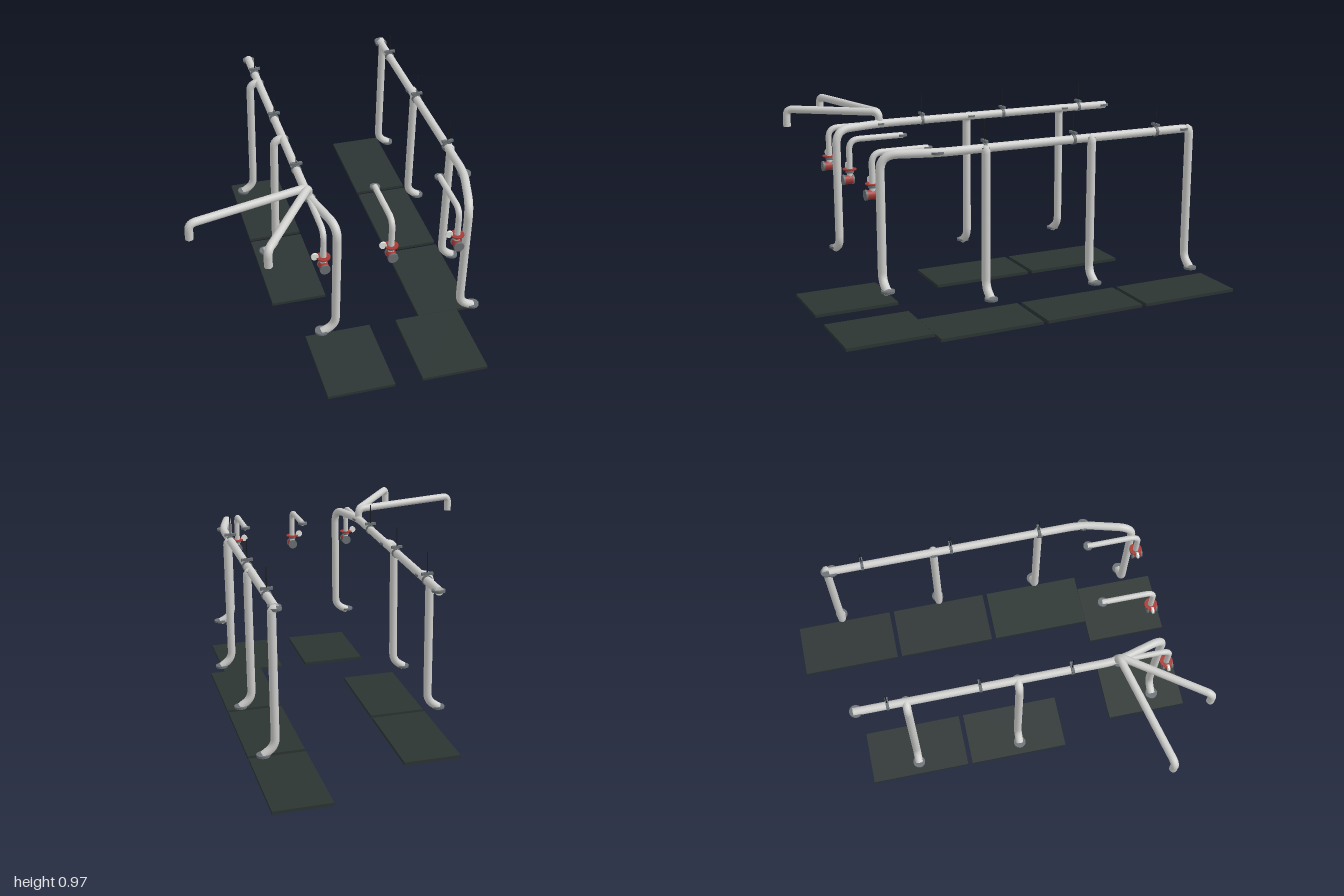
import * as THREE from 'three';

const mat = (name, color) => {
  const m = new THREE.MeshStandardMaterial({ color });
  m.name = name;
  return m;
};

export function createModel() {
  const steel = mat('pale steel', 0xcfcfcd);
  const flangeGrey = mat('flange grey', 0x6c7276);
  const slate = mat('dark slate', 0x2c3533);
  const red = mat('valve red', 0xa83a36);
  const white = mat('gauge white', 0xe8e8e4);
  const black = mat('rod black', 0x1c1e1f);

  const model = new THREE.Group();
  model.name = 'pipework';
  const Y = 0.838; // height of the main pipes

  const add = (name, geometry, material, x = 0, y = 0, z = 0, parent = model) => {
    const mesh = new THREE.Mesh(geometry, material);
    mesh.name = name;
    mesh.position.set(x, y, z);
    parent.add(mesh);
    return mesh;
  };

  // Capped tube along a polyline whose corners are rounded by the given bend length
  const pipe = (name, points, radius, bend, segments = 64) => {
    const p = points.map(a => new THREE.Vector3(...a));
    const path = new THREE.CurvePath();
    let from = p[0];
    for (let i = 1; i < p.length - 1; i++) {
      const toPrev = p[i - 1].clone().sub(p[i]), toNext = p[i + 1].clone().sub(p[i]);
      const r = Math.min(bend, toPrev.length() * 0.9, toNext.length() * 0.6);
      const a = p[i].clone().addScaledVector(toPrev.normalize(), r);
      const b = p[i].clone().addScaledVector(toNext.normalize(), r);
      path.add(new THREE.LineCurve3(from, a));
      path.add(new THREE.QuadraticBezierCurve3(a, p[i], b));
      from = b;
    }
    const last = p[p.length - 1];
    path.add(new THREE.LineCurve3(from, last));
    const group = new THREE.Group();
    group.name = name;
    model.add(group);
    add(name + 'Tube', new THREE.TubeGeometry(path, segments, radius, 16), steel, 0, 0, 0, group);
    for (const [end, next] of [[p[0], p[1]], [last, p[p.length - 2]]]) {
      const cap = add(name + 'Cap', new THREE.CircleGeometry(radius, 16), steel, end.x, end.y, end.z, group);
      cap.lookAt(end.clone().multiplyScalar(2).sub(next));
    }
    return group;
  };

  // Thin horizontal disc
  const flange = (name, x, y, z, r = 0.031, h = 0.01, material = flangeGrey) =>
    add(name, new THREE.CylinderGeometry(r, r, h, 24), material, x, y, z);

  // Floor plates: x from, x to, z from, z to
  [
    [-0.257, 0.02, -0.733, -0.222], [-0.257, 0.02, -0.198, 0.315],
    [-0.155, 0.172, 0.585, 1], [0.43, 0.706, -1, -0.488],
    [0.43, 0.706, -0.464, 0.048], [0.43, 0.706, 0.072, 0.584],
    [0.308, 0.632, 0.585, 1],
  ].forEach(([x0, x1, z0, z1]) => {
    add('floorPlate', new THREE.BoxGeometry(x1 - x0, 0.015, z1 - z0), slate,
      (x0 + x1) / 2, 0.0075, (z0 + z1) / 2);
  });

  // The two long runs, with their drops and feet
  const runs = [
    { side: -1, x: -0.133, dropX: -0.178, drops: [0.063, -0.477] },
    { side: 1, x: 0.612, dropX: 0.63, drops: [0.33, -0.207, -0.745] },
  ];
  for (const { side, x, dropX, drops } of runs) {
    // Main pipe bending inwards and down into the front drop
    const frontX = x - side * 0.067;
    pipe('mainPipe', [[x, Y, -0.73], [x, Y, 0.55], [frontX, Y, 0.795],
      [frontX, 0.268, 0.795], [x - side * 0.003, 0.235, 0.795]], 0.02, 0.075, 180);
    flange('footFlange', x, 0.24, 0.795);
    flange('endFlange', x, Y, -0.717);
    flange('jointFlange', x, Y, 0.555);

    for (const z of drops) {
      pipe('dropPipe', [[x, Y, z], [dropX, Y, z], [dropX, 0.195, z],
        [dropX + side * 0.056, 0.157, z]], 0.02, 0.055);
      flange('footFlange', dropX + side * 0.056, 0.157, z);
      flange('dropFlange', x, Y, z, 0.027);
    }

    // Clamps with upright rods
    for (const z of [0.328, -0.119, -0.565]) {
      const band = add('clampBand', new THREE.CylinderGeometry(0.024, 0.024, 0.014, 24), flangeGrey, x, Y, z);
      band.rotation.x = Math.PI / 2;
      add('clampPlate', new THREE.BoxGeometry(0.056, 0.012, 0.014), flangeGrey, x, 0.87, z);
      add('uprightRod', new THREE.CylinderGeometry(0.0025, 0.0025, 0.12, 8), black, x, 0.91, z);
    }
  }

  // Spout arms rising from the front of the right-hand run
  for (const [x, z, y] of [[-0.698, 0.682, 0.815], [-0.408, 0.94, 0.808]]) {
    pipe('spoutArm', [[-0.133, Y, 0.553], [-0.133, 0.895, 0.553], [x, 0.895, z], [x, y, z]], 0.019, 0.034, 90);
  }

  // Small outlets with valve and gauge
  for (const x of [-0.133, 0.18, 0.492]) {
    const z = 0.812;
    pipe('outletPipe', [[x, Y, 0.55], [x, Y, z], [x, 0.65, z]], 0.014, 0.05);
    flange('outletFlange', x, Y, 0.553, 0.024);
    flange('valveRing', x, 0.7, z, 0.032, 0.005, red);
    flange('valveCollar', x, 0.69, z, 0.019, 0.014);
    const body = add('valveBody', new THREE.CylinderGeometry(0.022, 0.022, 0.04, 24), red, x, 0.652, z + 0.01);
    body.rotation.x = Math.PI / 2;
    for (const dz of [-0.012, 0.032]) {
      const cap = add('valveCap', new THREE.CylinderGeometry(0.024, 0.024, 0.009, 24), flangeGrey, x, 0.652, z + dz);
      cap.rotation.x = Math.PI / 2;
    }
    const gauge = add('gauge', new THREE.CylinderGeometry(0.017, 0.017, 0.01, 24), white, x - 0.039, 0.708, z);
    gauge.rotation.x = Math.PI / 2;
    add('gaugeStem', new THREE.BoxGeometry(0.04, 0.005, 0.005), black, x - 0.02, 0.69, z);
  }

  return model;
}
